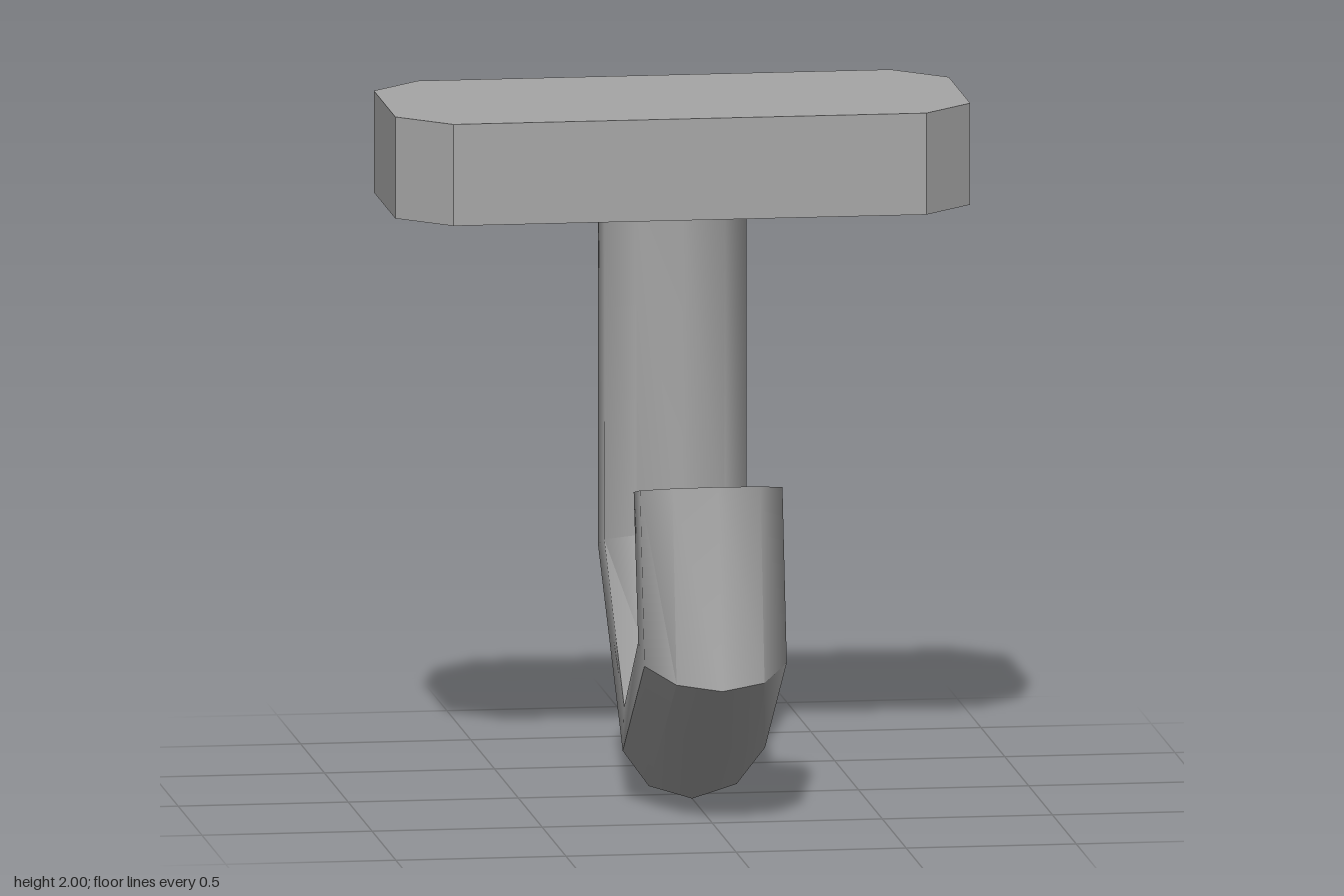
import * as THREE from 'three';
import { toCreasedNormals } from 'three/addons/utils/BufferGeometryUtils.js';

const SIDES = 10;
const RADIUS = 0.22;

// Mitred rings of the hook: [inner z, inner y, outer z, outer y]
const RINGS = [
  [-0.12, 1.72, -0.56, 1.72],
  [-0.125, 0.75, -0.555, 0.635],
  [0.18, 0.44, 0.08, 0],
  [0.295, 0.585, 0.715, 0.425],
  [0.195, 0.925, 0.63, 1.015],
];

function ringPoint([iz, iy, oz, oy], i) {
  const a = (i / SIDES) * Math.PI * 2;
  const t = (1 - Math.cos(a)) / 2;
  return [RADIUS * Math.sin(a), iy + (oy - iy) * t, iz + (oz - iz) * t];
}

function hookGeometry() {
  const pos = [];
  for (let k = 0; k < RINGS.length - 1; k++) {
    for (let i = 0; i < SIDES; i++) {
      const a = ringPoint(RINGS[k], i), b = ringPoint(RINGS[k + 1], i);
      const c = ringPoint(RINGS[k + 1], i + 1), d = ringPoint(RINGS[k], i + 1);
      pos.push(...a, ...b, ...c, ...a, ...c, ...d);
    }
  }
  // Flat cap on the free end
  const end = RINGS[RINGS.length - 1];
  for (let i = 1; i < SIDES - 1; i++) {
    pos.push(...ringPoint(end, 0), ...ringPoint(end, i + 1), ...ringPoint(end, i));
  }
  const geo = new THREE.BufferGeometry();
  geo.setAttribute('position', new THREE.Float32BufferAttribute(pos, 3));
  return toCreasedNormals(geo, THREE.MathUtils.degToRad(40));
}

// Wall plate: a rectangle with cut corners
function plateGeometry() {
  const w = 0.845, h = 0.375, c = 0.15;
  const shape = new THREE.Shape([
    [w, c - h], [w, h - c], [w - c, h], [c - w, h],
    [-w, h - c], [-w, c - h], [c - w, -h], [w - c, -h],
  ].map(([x, y]) => new THREE.Vector2(x, y)));
  const geo = new THREE.ExtrudeGeometry(shape, { depth: 0.3, bevelEnabled: false });
  return geo.rotateX(-Math.PI / 2).translate(0, 1.7, -0.345);
}

export function createModel() {
  const grey = new THREE.MeshStandardMaterial({ color: 0xa6a6a6 });
  grey.name = 'grey metal';

  const model = new THREE.Group();
  model.name = 'wallHook';

  const plate = new THREE.Mesh(plateGeometry(), grey);
  plate.name = 'mountingPlate';
  const hook = new THREE.Mesh(hookGeometry(), grey);
  hook.name = 'hook';

  model.add(plate, hook);
  return model;
}
